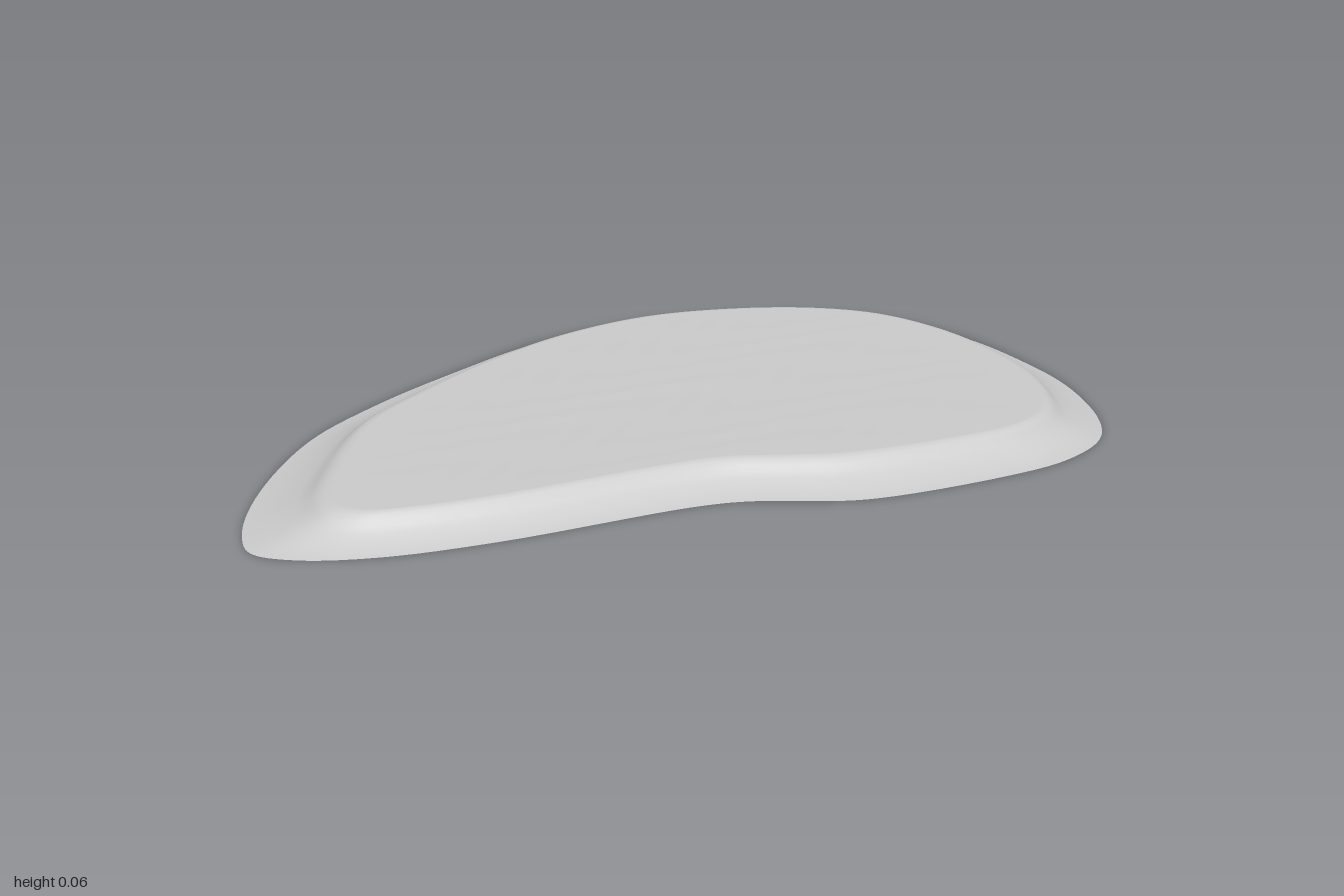
import * as THREE from 'three';

const SEGMENTS = 160;
const TOP = 0.057;

// Matching points (x, z) of the foot of the bank and of its inner lip
const FOOT = [
  [-1, -0.07], [-0.97, -0.16], [-0.85, -0.31], [-0.62, -0.49], [-0.4, -0.575],
  [-0.14, -0.635], [0.15, -0.675], [0.4, -0.64], [0.64, -0.54], [0.85, -0.38],
  [0.96, -0.2], [1, 0], [0.98, 0.2], [0.93, 0.38], [0.82, 0.56],
  [0.72, 0.64], [0.58, 0.665], [0.42, 0.64], [0.1, 0.53], [-0.02, 0.44],
  [-0.1, 0.375], [-0.2, 0.325], [-0.6, 0.2], [-0.82, 0.105], [-0.95, 0.01],
];
const LIP = [
  [-0.81, -0.04], [-0.785, -0.12], [-0.7, -0.22], [-0.52, -0.38], [-0.33, -0.455],
  [-0.1, -0.52], [0.15, -0.55], [0.38, -0.525], [0.57, -0.44], [0.74, -0.31],
  [0.84, -0.17], [0.875, 0], [0.86, 0.18], [0.81, 0.34], [0.71, 0.48],
  [0.64, 0.53], [0.54, 0.545], [0.42, 0.52], [0.15, 0.42], [0.04, 0.345],
  [-0.06, 0.27], [-0.17, 0.225], [-0.55, 0.115], [-0.7, 0.055], [-0.78, 0.01],
];

// Bank cross-section: fraction of the way from foot to lip, height
const BANK = [
  [0, 0], [0.2, 0.004], [0.4, 0.013], [0.58, 0.023], [0.7, 0.033],
  [0.78, 0.044], [0.86, 0.052], [0.93, 0.056], [1, TOP],
];

function loop(points) {
  const curve = new THREE.CatmullRomCurve3(
    points.map(([x, z]) => new THREE.Vector3(x, 0, z)), true);
  return Array.from({ length: SEGMENTS }, (_, i) => curve.getPoint(i / SEGMENTS));
}

// Skins a list of closed rings; rings running inwards face up
function loft(rings) {
  const positions = rings.flat().flatMap((p) => [p.x, p.y, p.z]);
  const index = [];
  for (let r = 0; r < rings.length - 1; r++) {
    for (let i = 0; i < SEGMENTS; i++) {
      const next = (i + 1) % SEGMENTS;
      const a = r * SEGMENTS + i, b = r * SEGMENTS + next;
      const c = a + SEGMENTS, d = b + SEGMENTS;
      index.push(a, c, b, b, c, d);
    }
  }
  const geometry = new THREE.BufferGeometry();
  geometry.setAttribute('position', new THREE.Float32BufferAttribute(positions, 3));
  geometry.setIndex(index);
  geometry.computeVertexNormals();
  return geometry;
}

export function createModel() {
  const group = new THREE.Group();
  const material = new THREE.MeshStandardMaterial({ color: 0xcccccc });
  const foot = loop(FOOT);
  const lip = loop(LIP);
  const middle = new THREE.Vector3(0.15, 0, -0.05);

  const add = (name, geometry) => {
    const mesh = new THREE.Mesh(geometry, material);
    mesh.name = name;
    group.add(mesh);
  };

  // Flared bank around the edge
  add('bank', loft(BANK.map(([t, y]) =>
    foot.map((p, i) => p.clone().lerp(lip[i], t).setY(y)))));

  // Nearly flat top with faint ripples that die out at the lip
  const rings = 24;
  const surface = Array.from({ length: rings + 1 }, (_, r) => {
    const t = r / rings;
    return lip.map((p) => {
      const q = p.clone().lerp(middle, t);
      const ripple = Math.sin(q.x * 31 + 2 * Math.sin(q.z * 17)) * Math.sin(q.z * 43 + q.x * 9);
      return q.setY(TOP + 0.0007 * ripple * Math.min(1, t * 4));
    });
  });
  add('surface', loft(surface));

  // Flat underside
  add('underside', loft([foot.map(() => middle), foot]));

  return group;
}
